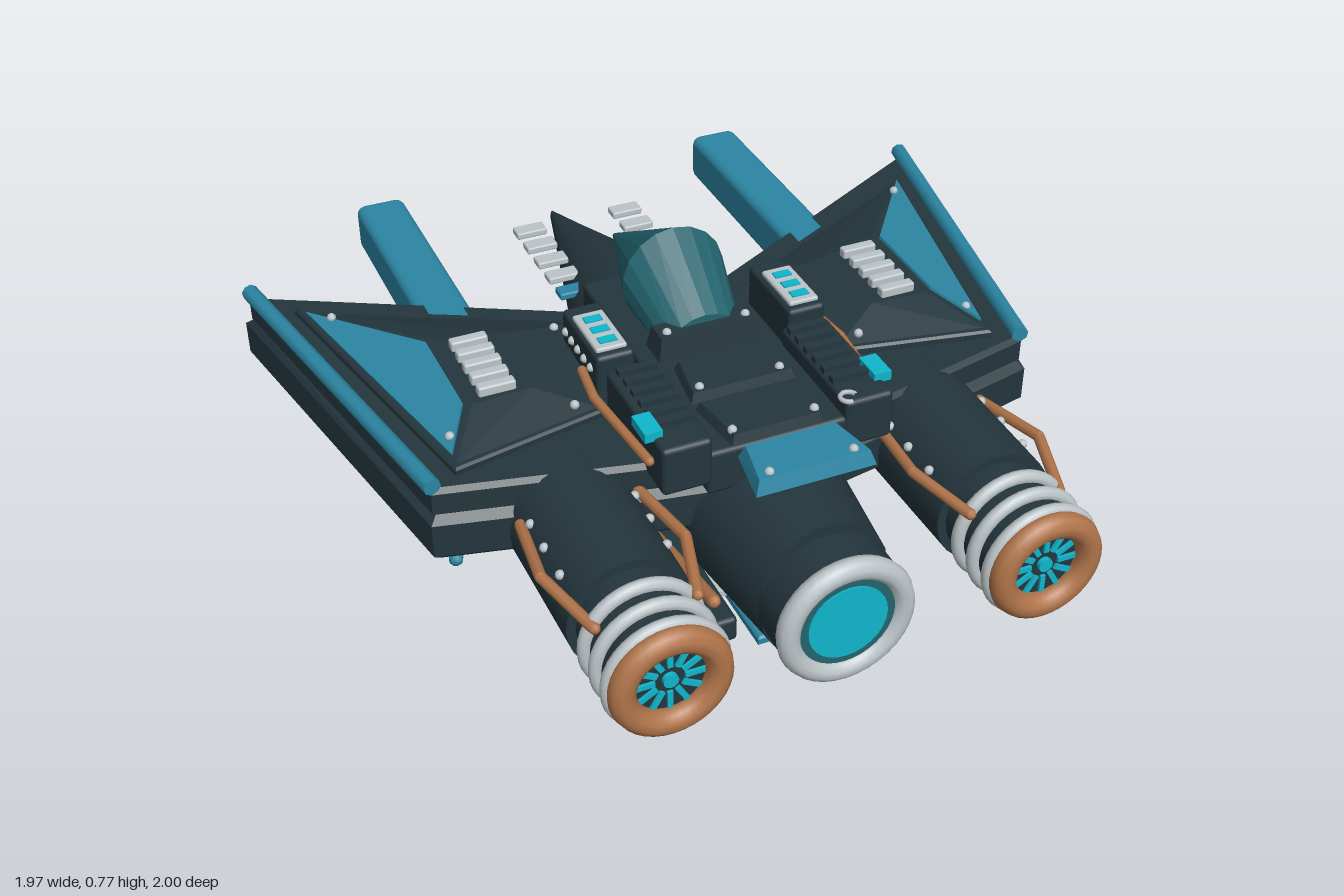
import * as THREE from 'three';
import { RoundedBoxGeometry } from 'three/addons/geometries/RoundedBoxGeometry.js';
import { ConvexGeometry } from 'three/addons/geometries/ConvexGeometry.js';

const material = (name, color) => {
  const m = new THREE.MeshStandardMaterial({ color });
  m.name = name;
  return m;
};
const V = (x, y, z) => new THREE.Vector3(x, y, z);

export function createModel() {
  const hull = material('dark hull', 0x24363d);
  const blue = material('blue paint', 0x2c86a3);
  const glass = material('teal canopy', 0x23636d);
  const silver = material('silver', 0xbcc4c8);
  const copper = material('copper', 0xb0744a);
  const cyan = material('cyan glow', 0x10b6cc);
  const under = material('grey underside', 0x42454f);

  const model = new THREE.Group();
  const add = (name, geometry, mat, x = 0, y = 0, z = 0) => {
    const mesh = new THREE.Mesh(geometry, mat);
    mesh.name = name;
    mesh.position.set(x, y, z);
    model.add(mesh);
    return mesh;
  };
  const box = (name, mat, x, y, z, w, h, d) => add(name, new THREE.BoxGeometry(w, h, d), mat, x, y, z);
  const rounded = (name, mat, x, y, z, w, h, d, r = 0.012) =>
    add(name, new RoundedBoxGeometry(w, h, d, 2, r), mat, x, y, z);
  const hullOf = (name, mat, points) => add(name, new ConvexGeometry(points), mat);
  // Cylinder lying along z, between z0 and z1
  const drum = (name, mat, x, y, z0, z1, r0, r1 = r0, sides = 28) =>
    add(name, new THREE.CylinderGeometry(r1, r0, z1 - z0, sides).rotateX(Math.PI / 2), mat, x, y, (z0 + z1) / 2);
  const ring = (name, mat, x, y, z, radius, tube) =>
    add(name, new THREE.TorusGeometry(radius, tube, 10, 36), mat, x, y, z);
  // Straight rod between two points
  const rod = (name, mat, a, b, r, sides = 8) => {
    const mesh = add(name, new THREE.CylinderGeometry(r, r, a.distanceTo(b), sides), mat);
    mesh.position.copy(a).lerp(b, 0.5);
    mesh.quaternion.setFromUnitVectors(V(0, 1, 0), b.clone().sub(a).normalize());
  };
  // Bent pipe: straight runs with ball joints
  const pipe = (name, points, r) => points.forEach((p, i) => {
    add(name + 'Joint', new THREE.SphereGeometry(r, 8, 6), copper, p.x, p.y, p.z);
    if (i) rod(name, copper, points[i - 1], p, r);
  });
  const bolt = (x, y, z) => add('bolt', new THREE.SphereGeometry(0.012, 8, 6), silver, x, y, z);
  // Horizontal slab from an [x, z] outline, with bevelled edges
  const slab = (name, mat, outline, y0, y1, bevel) => {
    const shape = new THREE.Shape(outline.map(([x, z]) => new THREE.Vector2(x, -z)));
    const geometry = new THREE.ExtrudeGeometry(shape, {
      depth: y1 - y0 - 2 * bevel, bevelEnabled: true, bevelSize: bevel,
      bevelThickness: bevel, bevelOffset: -bevel, bevelSegments: 1,
    }).rotateX(-Math.PI / 2);
    return add(name, geometry, mat, 0, y0 + bevel, 0);
  };
  // Body lofted through elliptical rings [z, centreY, radiusX, radiusY]
  const loft = (name, mat, rings, sides, flat) => {
    let g = new THREE.CylinderGeometry(1, 1, 1, sides, rings.length - 1).rotateX(Math.PI / 2);
    const p = g.attributes.position;
    for (let i = 0; i < p.count; i++) {
      const [z, cy, rx, ry] = rings[Math.round((p.getZ(i) + 0.5) * (rings.length - 1))];
      p.setXYZ(i, p.getX(i) * rx, cy + p.getY(i) * ry, z);
    }
    if (flat) g = g.toNonIndexed();
    g.computeVertexNormals();
    return add(name, g, mat);
  };

  // Fuselage, canopy and main exhaust
  loft('fuselage', hull, [
    [-1, 0.315, 0.006, 0.02], [-0.4, 0.35, 0.17, 0.155], [0, 0.325, 0.2, 0.2],
    [0.3, 0.285, 0.21, 0.205], [0.5, 0.28, 0.205, 0.2], [0.78, 0.28, 0.165, 0.195],
  ], 16, false);
  loft('canopy', glass, [
    [-0.49, 0.53, 0.006, 0.006], [-0.09, 0.63, 0.138, 0.14], [0.11, 0.545, 0.1, 0.085],
  ], 18, true);
  drum('exhaustBarrel', hull, 0, 0.28, 0.7, 0.89, 0.165);
  ring('exhaustRing', silver, 0, 0.28, 0.885, 0.145, 0.028);
  drum('exhaustRim', glass, 0, 0.28, 0.88, 0.894, 0.122);
  drum('exhaustGlow', cyan, 0, 0.28, 0.88, 0.898, 0.1);

  // Spine deck and its tapered panels
  const panel = (mat, y0, y1, z0, z1, w0, w1) => {
    const points = [];
    for (const s of [-1, 1]) for (const [y, inset] of [[y0, 0], [y1, 0.012]]) {
      points.push(V(s * (w0 - inset), y, z0 + inset), V(s * (w1 - inset), y, z1 - inset));
    }
    hullOf('spinePanel', mat, points);
  };
  rounded('spineDeck', hull, 0, 0.49, 0.13, 0.36, 0.12, 0.8);
  panel(hull, 0.54, 0.61, 0.06, 0.15, 0.14, 0.14);
  panel(hull, 0.54, 0.575, 0.18, 0.34, 0.12, 0.14);
  panel(hull, 0.54, 0.575, 0.355, 0.525, 0.14, 0.12);
  panel(blue, 0.555, 0.592, 0.57, 0.72, 0.125, 0.15);

  // Keel plate and its strut
  slab('keelPlate', blue, [[-0.085, 0.62], [0.085, 0.62], [0.085, -0.48], [0.015, -0.7], [-0.015, -0.7], [-0.085, -0.48]], 0, 0.028, 0.006);
  box('keelStrut', hull, 0, 0.1, -0.17, 0.1, 0.16, 0.1);
  box('keelRearStrut', hull, 0, 0.07, 0.35, 0.1, 0.1, 0.4);
  // Small hook on the deck
  const hook = add('deckHook', new THREE.TorusGeometry(0.02, 0.006, 6, 14, 4.7), silver, 0.175, 0.61, 0.53);
  hook.rotation.x = -Math.PI / 2;

  for (const s of [-1, 1]) {
    const P = (x, y, z) => V(s * x, y, z);
    const flip = (pts) => pts.map(([x, z]) => [s * x, z]);

    // Wing: two stacked slabs
    slab('wingLower', hull, flip([[0.985, -0.665], [0.12, -0.2], [0.12, 0.49], [0.29, 0.46], [0.79, 0.345]]), 0.29, 0.42, 0.02);
    slab('wingUpper', hull, flip([[0.97, -0.645], [0.145, -0.21], [0.15, 0.47], [0.29, 0.44], [0.78, 0.33]]), 0.41, 0.49, 0.012);
    rod('wingEdgeStrip', blue, P(0.965, 0.5, -0.65), P(0.775, 0.5, 0.33), 0.022);

    // Raised faceted wing cover with a painted outer face
    const base = [[0.88, -0.51], [0.18, -0.15], [0.31, 0.22], [0.71, 0.3]];
    const top = [[0.61, -0.17], [0.45, -0.13], [0.46, 0.12], [0.61, 0.13]];
    slab('wingCoverRim', hull, flip(base), 0.485, 0.51, 0.006);
    hullOf('wingCover', hull, [
      ...base.map(([x, z]) => P(x * 0.97 + 0.015, 0.508, z * 0.95)), ...top.map(([x, z]) => P(x, 0.552, z))]);
    const face = [P(0.858, 0.511, -0.472), P(0.632, 0.549, -0.16), P(0.629, 0.549, 0.118), P(0.702, 0.514, 0.255)];
    hullOf('wingPaint', blue, [...face, ...face.map((p) => p.clone().add(P(0.002, 0.007, 0)))]);
    for (const [x, z] of [[0.81, -0.4], [0.31, -0.13], [0.38, 0.2], [0.69, 0.2]]) bolt(s * x, 0.53, z);
    for (let i = 0; i < 5; i++) rounded('wingVentSlat', silver, s * 0.54, 0.563, -0.11 + i * 0.052, 0.095, 0.028, 0.03, 0.006);

    // Underside panel, struts and pod
    const low = [[0.88, -0.5], [0.22, -0.14], [0.3, 0.32], [0.73, 0.31]];
    slab('undersidePanel', under, flip(low), 0.265, 0.295, 0.006);
    for (const [x, z] of low) {
      rod('undersideStrut', silver, P(0.54, 0.25, 0), P(x, 0.258, z), 0.013);
      add('strutFoot', new THREE.SphereGeometry(0.018, 8, 6), blue, s * x, 0.258, z);
    }
    rounded('undersidePod', blue, s * 0.54, 0.215, 0, 0.125, 0.085, 0.29);
    add('podNozzle', new THREE.CylinderGeometry(0.05, 0.04, 0.06, 16), silver, s * 0.54, 0.145, 0);

    // Forward boom
    rounded('forwardBoom', blue, s * 0.518, 0.423, -0.6, 0.137, 0.135, 0.8, 0.025);

    // Engine with banded exhaust and fan
    const ex = s * 0.463, ey = 0.345;
    drum('engineHousing', hull, ex, ey, 0.3, 0.74, 0.155, 0.15);
    drum('engineNeck', hull, ex, ey, 0.73, 0.96, 0.128);
    for (const z of [0.81, 0.877, 0.943]) ring('engineBand', silver, ex, ey, z, 0.135, 0.017);
    ring('engineLip', copper, ex, ey, 0.968, 0.113, 0.032);
    for (let i = 0; i < 12; i++) {
      const a = (i / 12) * Math.PI * 2;
      const blade = box('fanBlade', cyan, ex + Math.cos(a) * 0.06, ey + Math.sin(a) * 0.06, 0.963, 0.05, 0.013, 0.008);
      blade.rotation.z = a;
    }
    drum('fanHub', cyan, ex, ey, 0.955, 0.972, 0.018, 0.018, 12);
    for (const z of [0.46, 0.55, 0.65]) for (const x of [0.59, 0.335]) bolt(s * x, 0.43, z);

    // Copper pipes on engine, deck and belly
    pipe('engineOuterPipe', [P(0.605, 0.41, 0.43), P(0.635, 0.44, 0.65), P(0.58, 0.42, 0.83)], 0.014);
    pipe('engineInnerPipe', [P(0.315, 0.42, 0.43), P(0.29, 0.44, 0.65), P(0.34, 0.43, 0.83)], 0.014);
    pipe('deckPipe', [P(0.315, 0.535, 0.08), P(0.33, 0.535, 0.2), P(0.305, 0.535, 0.48)], 0.012);
    pipe('bellyPipe', [P(0.2, 0.18, 0.61), P(0.185, 0.06, 0.15), P(0.14, 0.1, -0.4)], 0.017);

    // Shoulder block with slats, light and control panel
    rounded('shoulderBlock', hull, s * 0.232, 0.53, 0.36, 0.125, 0.13, 0.35);
    for (let i = 0; i < 6; i++) box('shoulderSlat', hull, s * 0.225, 0.6, 0.215 + i * 0.045, 0.1, 0.018, 0.022);
    box('shoulderLight', cyan, s * 0.293, 0.6, 0.44, 0.045, 0.025, 0.08);
    rounded('controlBlock', hull, s * 0.255, 0.55, 0.04, 0.1, 0.13, 0.24);
    rounded('controlPanel', silver, s * 0.257, 0.616, 0.055, 0.08, 0.018, 0.165, 0.006);
    for (const z of [0.01, 0.058, 0.106]) box('controlLight', cyan, s * 0.257, 0.626, z, 0.045, 0.006, 0.025);
    for (let i = 0; i < 5; i++) bolt(s * 0.305, 0.565, -0.05 + i * 0.042);
    for (const [z, y] of [[0.115, 0.61], [0.31, 0.575], [0.495, 0.575], [0.69, 0.592]]) bolt(s * 0.105, y, z);

    // Floating fins beside the nose
    for (let i = 0; i < 5; i++) {
      rounded('noseFin', i < 4 ? silver : blue, s * 0.145, 0.42, -0.78 + i * 0.086, 0.088, 0.02, 0.046, 0.005);
    }

    // Belly skids and small plates
    rounded('bellySkid', hull, s * 0.165, 0.058, 0.35, 0.07, 0.07, 0.5);
    for (let i = 0; i < 5; i++) box('bellyPlate', silver, s * 0.115, 0.043, -0.19 + i * 0.15, 0.05, 0.018, 0.09);
  }
  return model;
}
